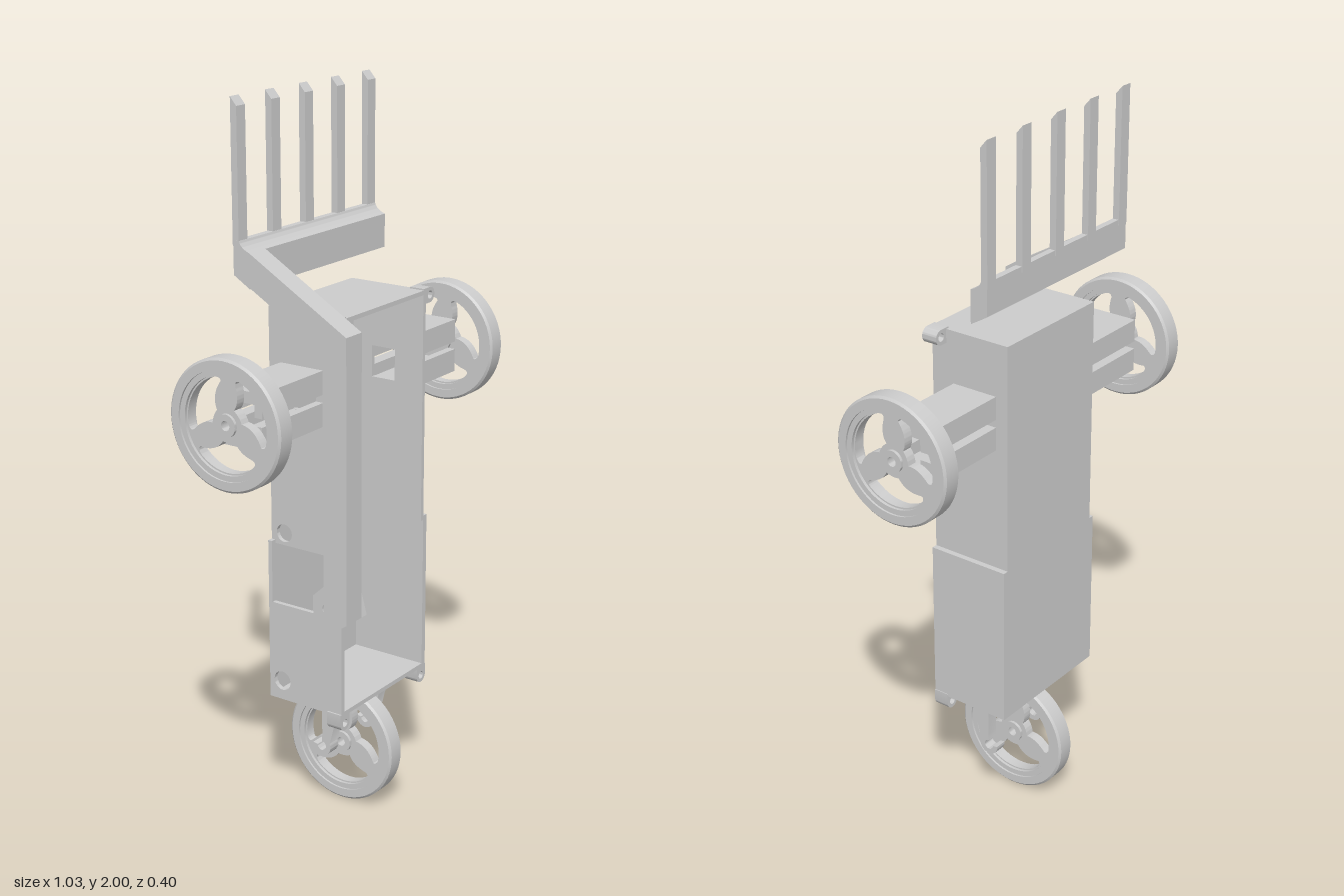
import * as THREE from 'three';
import { toCreasedNormals } from 'three/addons/utils/BufferGeometryUtils.js';

const mat = new THREE.MeshStandardMaterial({ color: 0xcccccc, side: THREE.DoubleSide });

function add(parent, name, geo, x = 0, y = 0, z = 0) {
  const m = new THREE.Mesh(geo, mat);
  m.name = name;
  m.position.set(x, y, z);
  parent.add(m);
  return m;
}

// Box given by its limits
function box(parent, name, x0, x1, y0, y1, z0, z1) {
  return add(parent, name, new THREE.BoxGeometry(x1 - x0, y1 - y0, z1 - z0),
    (x0 + x1) / 2, (y0 + y1) / 2, (z0 + z1) / 2);
}

const poly = pts => new THREE.Shape(pts.map(p => new THREE.Vector2(...p)));
const rect = (a0, a1, b0, b1) => poly([[a0, b0], [a1, b0], [a1, b1], [a0, b1]]);
const circle = (a, b, r) => new THREE.Path().absarc(a, b, r, 0, Math.PI * 2, true);

function extrude(shape, depth, holes = []) {
  shape.holes.push(...holes);
  return toCreasedNormals(new THREE.ExtrudeGeometry(shape, { depth, bevelEnabled: false, curveSegments: 20 }), 0.6);
}

// Extrudes a (z, y) outline along x, from x0 to x1
function extrudeX(shape, x0, x1, holes) {
  return extrude(shape, x1 - x0, holes).rotateY(-Math.PI / 2).translate(x1, 0, 0);
}

// Spoked wheel turning about x
function wheel(name, x, y, z) {
  const g = new THREE.Group();
  g.name = name;
  g.position.set(x, y, z);

  const rim = [[0.128, -0.022], [0.143, -0.022], [0.143, -0.0275], [0.166, -0.0275], [0.172, -0.022],
    [0.172, 0.022], [0.166, 0.0275], [0.143, 0.0275], [0.143, 0.022], [0.128, 0.022], [0.128, -0.022]];
  const lathe = (pts, n) => toCreasedNormals(
    new THREE.LatheGeometry(pts.map(p => new THREE.Vector2(...p)), n), 0.6).rotateZ(-Math.PI / 2);
  add(g, 'rim', lathe(rim, 64));
  add(g, 'hub', lathe([[0.013, -0.022], [0.03, -0.022], [0.03, 0.022], [0.013, 0.022], [0.013, -0.022]], 32));

  // Three swept openings leave three curved spokes
  const disc = new THREE.Shape().absarc(0, 0, 0.131, 0, Math.PI * 2, false);
  const openings = [0, 1, 2].map(i => {
    const base = Math.PI / 2 + i * Math.PI * 2 / 3;
    const at = (r, deg) => {
      const a = base + deg * Math.PI / 180;
      return [r * Math.cos(a), r * Math.sin(a)];
    };
    const p = new THREE.Path();
    p.moveTo(...at(0.112, 9));
    p.quadraticCurveTo(...at(0.123, 9), ...at(0.124, 18));
    for (let d = 26; d <= 98; d += 8) p.lineTo(...at(0.124, d));
    p.quadraticCurveTo(...at(0.124, 108), ...at(0.108, 105));
    p.quadraticCurveTo(...at(0.075, 88), ...at(0.046, 92));
    p.quadraticCurveTo(...at(0.048, 65), ...at(0.046, 42));
    p.quadraticCurveTo(...at(0.085, 34), ...at(0.112, 9));
    return p;
  });
  add(g, 'spokes', extrudeX(disc, -0.014, 0.014, [...openings, circle(0, 0, 0.013)]));
  return g;
}

function createBody() {
  const g = new THREE.Group();
  g.name = 'body';
  const t = 0.012, zb = -0.137, zf = 0.102;
  const axleHole = () => poly([[-0.063, 1.187], [-0.063, 1.275], [0.012, 1.275], [0.012, 1.187]]);

  box(g, 'upperBack', -0.187, 0.187, 0.81, 1.45, zb, zb + t);
  box(g, 'lowerBack', -0.203, 0.203, 0.355, 0.81, zb, zb + t);
  box(g, 'topWall', -0.187, 0.187, 1.45 - t, 1.45, zb, zf);
  box(g, 'bottomWall', -0.203, 0.203, 0.355, 0.355 + t, zb, zf);

  // The right wall has an open gap and two round passages
  add(g, 'upperLeftWall', extrudeX(rect(zb, zf, 0.80, 1.45), 0.187 - t, 0.187, [axleHole()]));
  add(g, 'upperRightWall', extrudeX(rect(zb, zf, 0.80, 1.45), -0.187, -0.187 + t,
    [axleHole(), circle(-0.095, 0.834, 0.025)]));
  add(g, 'lowerLeftWall', extrudeX(rect(zb, zf, 0.355, 0.812), 0.187, 0.203));
  add(g, 'lowerRightWall', extrudeX(rect(zb, zf, 0.355, 0.635), -0.203, -0.19, [circle(-0.095, 0.41, 0.027)]));

  // Cable guides on the inside of the back
  for (const y of [0.83, 0.41]) {
    const s = new THREE.Shape();
    s.moveTo(-0.126, y - 0.032);
    s.lineTo(-0.09, y - 0.032);
    s.absarc(-0.09, y, 0.032, -Math.PI / 2, Math.PI / 2, false);
    s.lineTo(-0.126, y + 0.032);
    add(g, 'cableGuide', extrudeX(s, -0.1, -0.012, [circle(-0.092, y, 0.016)]));
  }

  // Screw lugs on the four corners
  for (const [x, y, dx, dy] of [[-0.21, 1.433, 0.03, 0], [0.207, 1.433, -0.03, 0],
    [-0.187, 0.332, 0, 0.03], [0.184, 0.332, 0, 0.03]]) {
    const lug = new THREE.Shape();
    const a = Math.atan2(dy, dx);
    lug.absarc(0, 0, 0.021, a + Math.PI / 2, a + Math.PI * 1.5, false);
    const sx = Math.sin(a) * 0.021, sy = -Math.cos(a) * 0.021;
    lug.lineTo(dx + sx, dy + sy);
    lug.lineTo(dx - sx, dy - sy);
    add(g, 'screwLug', extrude(lug, 0.045, [circle(0, 0, 0.011)]), x, y, 0.057);
  }
  return g;
}

// Axle beam of two channels facing each other across a slot
function createBeam(side) {
  const g = new THREE.Group();
  g.name = side > 0 ? 'leftAxleBeam' : 'rightAxleBeam';
  const x0 = side > 0 ? 0.18 : -0.443, x1 = side > 0 ? 0.443 : -0.18;
  for (const s of [-1, 1]) {
    const y = h => 1.23 + s * h;
    add(g, s > 0 ? 'upperChannel' : 'lowerChannel', extrudeX(poly([
      [-0.1, y(0.011)], [-0.1, y(0.075)], [0.035, y(0.075)], [0.035, y(0.011)],
      [0.012, y(0.011)], [0.012, y(0.044)], [-0.063, y(0.044)], [-0.063, y(0.011)]]), x0, x1));
  }
  return g;
}

// Legs that clip over the axle of the lower wheel
function createWheelFork() {
  const g = new THREE.Group();
  g.name = 'wheelFork';
  for (const [x0, x1] of [[-0.11, -0.073], [0.1, 0.135]]) {
    const cz = -0.032, cy = 0.194;
    const s = new THREE.Shape();
    s.moveTo(0.035, 0.357);
    s.lineTo(-0.005, cy + 0.012);
    s.absarc(cz, cy, 0.029, 0.42, -Math.PI - 0.1, true);
    s.lineTo(cz - 0.014, cy);
    s.absarc(cz, cy, 0.014, Math.PI, Math.PI * 2.5, false);
    s.lineTo(cz + 0.002, cy + 0.032);
    s.lineTo(-0.032, 0.357);
    add(g, 'forkLeg', extrudeX(s, x0, x1));
  }
  return g;
}

function createArm() {
  const g = new THREE.Group();
  g.name = 'rakeArm';
  // Upright with a bent upper end
  add(g, 'armBar', extrudeX(poly([[0.205, 0.69], [0.205, 1.447], [-0.088, 1.618], [-0.088, 1.53],
    [0.133, 1.402], [0.133, 0.69]]), -0.325, -0.259));

  // Pivot bracket at the foot: a drilled cheek and a channel beside it
  add(g, 'pivotCheek', extrudeX(poly([[0.205, 0.69], [0.165, 0.662], [0.132, 0.662], [0.1, 0.69],
    [0.1, 0.75], [0.132, 0.78], [0.205, 0.78]]), -0.325, -0.259, [circle(0.145, 0.72, 0.016)]));
  add(g, 'pivotChannel', extrudeX(poly([[0.205, 0.69], [0.165, 0.662], [0.132, 0.662], [0.1, 0.69],
    [0.125, 0.69], [0.165, 0.69], [0.165, 0.752], [0.1, 0.752], [0.132, 0.78], [0.18, 0.78]]), -0.26, -0.235));

  // Crossbar with a curved upper edge
  const bar = new THREE.Shape();
  bar.moveTo(-0.138, 1.557);
  bar.lineTo(-0.088, 1.527);
  bar.lineTo(-0.088, 1.618);
  bar.quadraticCurveTo(-0.116, 1.628, -0.12, 1.645);
  bar.lineTo(-0.138, 1.645);
  add(g, 'crossbar', extrudeX(bar, -0.325, 0.271));

  // Tines with bevelled tips
  for (let i = 0; i < 5; i++) {
    const x = -0.307 + i * 0.1403;
    add(g, 'tine', extrudeX(poly([[-0.14, 1.63], [-0.121, 1.63], [-0.121, 1.978], [-0.14, 2]]),
      x - 0.0175, x + 0.0175));
  }
  return g;
}

export function createModel() {
  const model = new THREE.Group();
  model.name = 'wheeledRake';
  model.add(createBody(), createBeam(1), createBeam(-1), createWheelFork(), createArm());
  model.add(wheel('leftWheel', 0.488, 1.23, -0.027), wheel('rightWheel', -0.488, 1.23, -0.027),
    wheel('lowerWheel', -0.003, 0.172, -0.027));
  return model;
}
